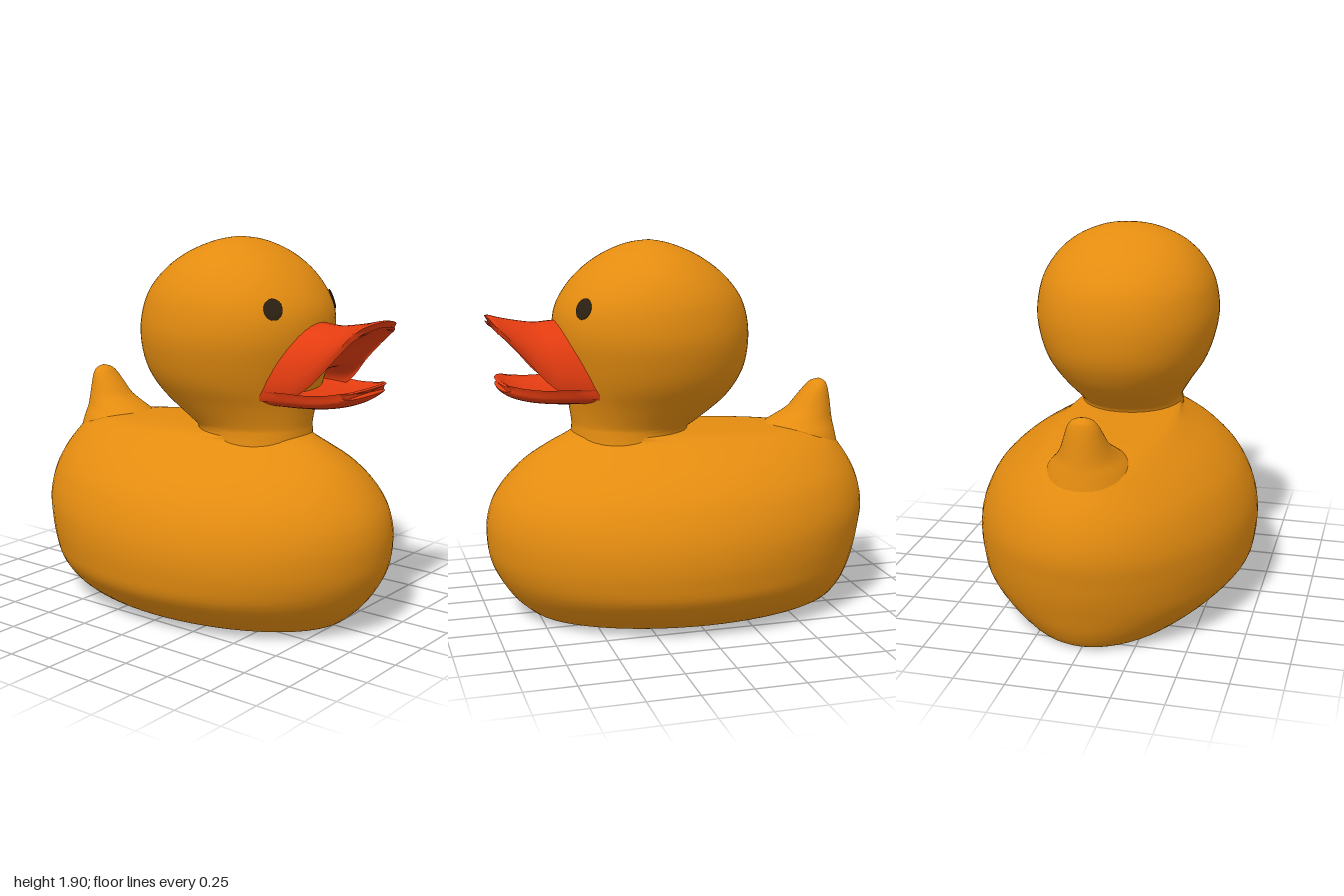
import * as THREE from 'three';
import { toCreasedNormals } from 'three/addons/utils/BufferGeometryUtils.js';

const material = (name, color) => Object.assign(new THREE.MeshStandardMaterial({ color }), { name });

// Smoothly resample rows of numbers (Catmull-Rom, column by column).
function smoothRows(rows, steps) {
  const out = [];
  const at = i => rows[Math.min(Math.max(i, 0), rows.length - 1)];
  for (let i = 0; i < rows.length - 1; i++) {
    for (let s = 0; s < steps; s++) {
      const t = s / steps;
      out.push(rows[i].map((b, k) => {
        const a = at(i - 1)[k], c = at(i + 1)[k], d = at(i + 2)[k];
        return b + 0.5 * t * (c - a + t * (2 * a - 5 * b + 4 * c - d + t * (3 * (b - c) + d - a)));
      }));
    }
  }
  out.push(rows[rows.length - 1]);
  return out;
}

// Skin closed rings of points and cap both ends.
function loft(rings, crease) {
  const n = rings[0].length, pos = rings.flat(2), idx = [];
  rings.slice(1).forEach((_, i) => {
    for (let j = 0; j < n; j++) {
      const k = (j + 1) % n, a = i * n + j, b = i * n + k;
      idx.push(a, b, b + n, a, b + n, a + n);
    }
  });
  [rings[0], rings[rings.length - 1]].forEach((ring, end) => {
    const centre = pos.length / 3, base = end ? (rings.length - 1) * n : 0;
    pos.push(...[0, 1, 2].map(k => ring.reduce((sum, p) => sum + p[k], 0) / n));
    for (let j = 0; j < n; j++) {
      const a = base + j, b = base + (j + 1) % n;
      idx.push(centre, end ? a : b, end ? b : a);
    }
  });
  const geo = new THREE.BufferGeometry();
  geo.setAttribute('position', new THREE.Float32BufferAttribute(pos, 3));
  geo.setIndex(idx);
  return toCreasedNormals(geo, crease);
}

// Horizontal oval rings from rows of [height, half width, front z, back z].
function ovalLoft(rows, power, crease) {
  const spow = v => Math.sign(v) * Math.abs(v) ** (2 / power);
  return loft(smoothRows(rows, 4).map(([y, w, front, back]) =>
    Array.from({ length: 64 }, (_, j) => {
      const a = j / 64 * Math.PI * 2;
      return [w * spow(Math.sin(a)), y, (front + back) / 2 + (front - back) / 2 * spow(Math.cos(a))];
    })), crease);
}

// Curved bill from rows of [half width, centre y, centre z, edge y, edge z, centre thickness].
function billLoft(rows) {
  const n = 20, rim = 0.025;
  return loft(smoothRows(rows, 5).map(([w, yc, zc, ye, ze, thick]) => {
    const ring = [];
    for (const under of [false, true]) {
      for (let j = 0; j <= n; j++) {
        const u = (under ? n - j : j) / n * Math.PI;
        const f = Math.max(Math.sin(u), 0) ** 0.8;
        const drop = under ? rim + (thick - rim) * f : 0;
        ring.push([(under ? w - 0.012 : w) * Math.cos(u), ye + (yc - ye) * f - drop, ze + (zc - ze) * f]);
      }
    }
    return ring;
  }), 0.9);
}

export function createModel() {
  const model = new THREE.Group();
  const orange = material('orange', 0xe48c10);
  const red = material('red', 0xe43c10);
  const dark = material('dark brown', 0x2c2112);
  const add = (name, geo, mat) => {
    const mesh = new THREE.Mesh(geo, mat);
    mesh.name = name;
    model.add(mesh);
    return mesh;
  };

  // Boat-shaped body with a flat base and a shelf behind the neck
  add('body', ovalLoft([
    [0, 0.43, 0.73, -0.79], [0.02, 0.48, 0.78, -0.85], [0.1, 0.59, 0.87, -0.9],
    [0.2, 0.68, 0.94, -0.935], [0.3, 0.705, 0.985, -0.965], [0.4, 0.712, 1, -0.985],
    [0.5, 0.7, 0.998, -1], [0.6, 0.665, 0.97, -0.99], [0.7, 0.605, 0.905, -0.955],
    [0.8, 0.5, 0.805, -0.895], [0.88, 0.375, 0.685, -0.82], [0.92, 0.31, 0.61, -0.66],
    [0.938, 0.28, 0.575, -0.35], [0.95, 0.26, 0.55, -0.05],
  ], 1.95, 0.45), orange);

  // Upturned tail
  add('tail', ovalLoft([
    [0.78, 0.24, -0.4, -0.885], [0.88, 0.2, -0.42, -0.865], [0.94, 0.15, -0.5, -0.853],
    [1, 0.115, -0.605, -0.845], [1.06, 0.093, -0.66, -0.837], [1.11, 0.074, -0.705, -0.827],
    [1.14, 0.05, -0.735, -0.815], [1.155, 0.01, -0.775, -0.79],
  ], 2, 0.9), orange);

  // Head and neck
  const head = add('head', ovalLoft([
    [0.9, 0.27, 0.56, -0.04], [0.96, 0.265, 0.555, -0.045], [1, 0.275, 0.555, -0.1],
    [1.1, 0.335, 0.57, -0.23], [1.2, 0.4, 0.59, -0.305], [1.3, 0.44, 0.615, -0.345],
    [1.43, 0.468, 0.64, -0.357], [1.55, 0.46, 0.635, -0.34], [1.65, 0.43, 0.59, -0.295],
    [1.75, 0.365, 0.505, -0.205], [1.83, 0.27, 0.395, -0.09], [1.885, 0.14, 0.27, 0.04],
    [1.905, 0.01, 0.16, 0.14],
  ], 2.05, 0.9), orange);

  // Open bill
  add('upperBill', billLoft([
    [0.265, 1.52, 0.58, 1.17, 0.46, 0.22], [0.245, 1.515, 0.66, 1.2, 0.62, 0.22],
    [0.215, 1.51, 0.74, 1.26, 0.71, 0.19], [0.19, 1.52, 0.82, 1.35, 0.79, 0.12],
    [0.186, 1.535, 0.9, 1.43, 0.865, 0.07], [0.19, 1.548, 0.955, 1.49, 0.925, 0.045],
    [0.182, 1.545, 0.975, 1.505, 0.945, 0.025],
  ]), red);
  add('lowerBill', billLoft([
    [0.265, 1.18, 0.5, 1.2, 0.44, 0.08], [0.258, 1.175, 0.65, 1.205, 0.61, 0.07],
    [0.24, 1.175, 0.78, 1.205, 0.73, 0.055], [0.215, 1.2, 0.87, 1.215, 0.83, 0.055],
    [0.195, 1.23, 0.92, 1.225, 0.88, 0.055], [0.18, 1.225, 0.935, 1.22, 0.9, 0.03],
  ]), red);

  // Eyes: thin ovals laid on the head surface
  for (const side of [-1, 1]) {
    const ray = new THREE.Raycaster(new THREE.Vector3(side * 0.255, 1.597, 2), new THREE.Vector3(0, 0, -1));
    const hit = ray.intersectObject(head)[0];
    const eye = add(side > 0 ? 'leftEye' : 'rightEye', new THREE.SphereGeometry(1, 24, 12), dark);
    eye.scale.set(0.047, 0.053, 0.008);
    eye.position.copy(hit.point);
    eye.lookAt(hit.point.clone().add(hit.face.normal));
  }
  return model;
}
